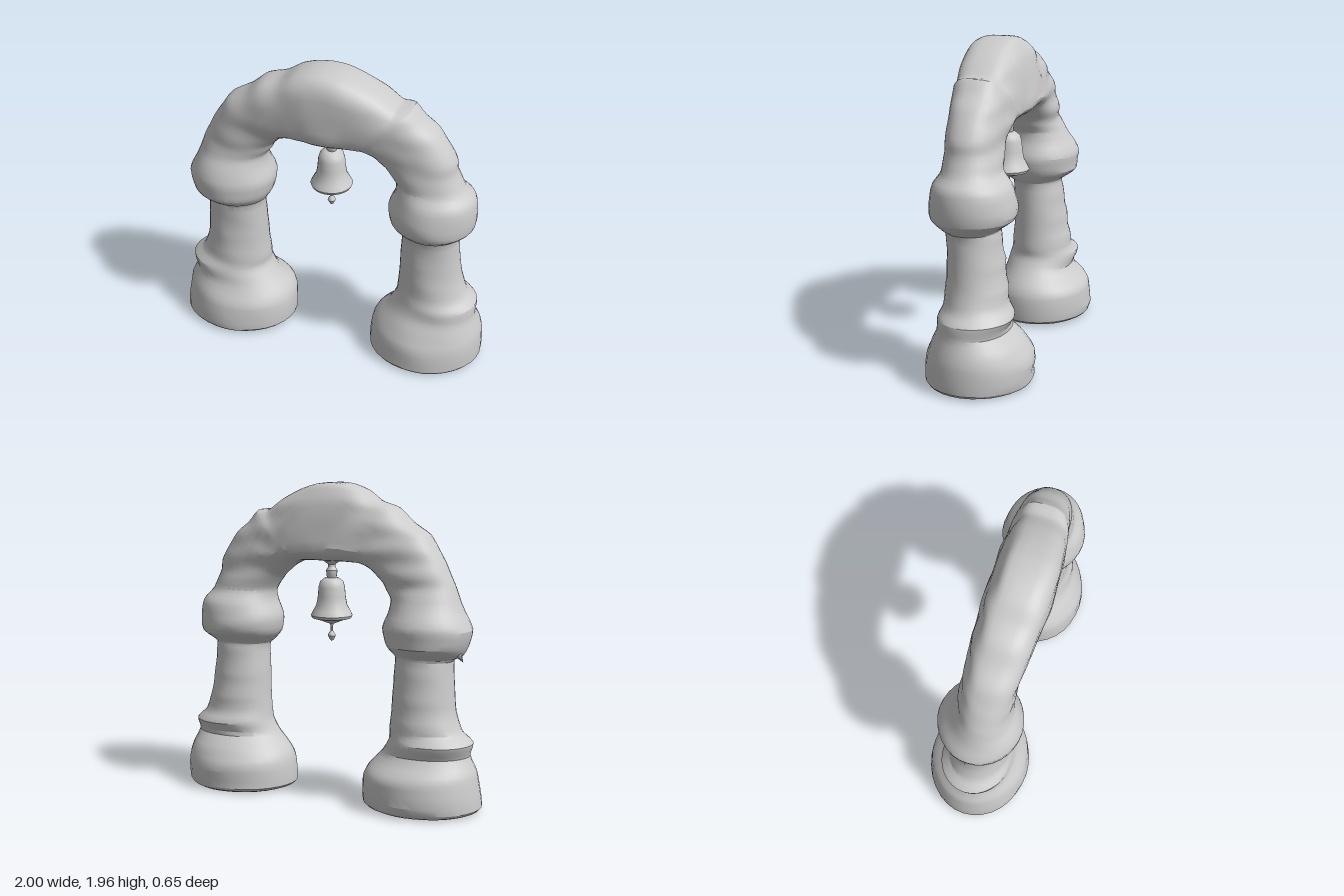
import * as THREE from 'three';
import { toCreasedNormals } from 'three/addons/utils/BufferGeometryUtils.js';

const material = new THREE.MeshStandardMaterial({ color: 0xcccccc, side: THREE.DoubleSide });

// Depth of a pillar at each height: [y, zFront, zBack]
const DEPTH = [
  [0, 0.28, -0.28], [0.03, 0.32, -0.32], [0.18, 0.31, -0.32], [0.25, 0.28, -0.28],
  [0.34, 0.235, -0.2], [0.42, 0.22, -0.22], [0.48, 0.2, -0.19], [0.6, 0.19, -0.17],
  [0.75, 0.185, -0.15], [0.91, 0.19, -0.13], [0.94, 0.22, -0.14], [1.0, 0.275, -0.215],
  [1.1, 0.285, -0.23], [1.2, 0.26, -0.19], [1.27, 0.22, -0.14],
];

// Width of each pillar at the same heights: [inner, outer] distance from the centre
const LEFT = [
  [0.34, 0.95], [0.28, 1.0], [0.29, 1.0], [0.32, 0.985], [0.4, 0.955], [0.44, 0.955],
  [0.45, 0.895], [0.46, 0.855], [0.465, 0.835], [0.475, 0.825], [0.45, 0.85], [0.4, 0.915],
  [0.385, 0.925], [0.425, 0.91], [0.425, 0.85],
];
const RIGHT = [
  [0.32, 0.95], [0.26, 1.0], [0.26, 0.98], [0.29, 0.965], [0.37, 0.92], [0.42, 0.945],
  [0.42, 0.875], [0.43, 0.83], [0.435, 0.815], [0.44, 0.805], [0.42, 0.855], [0.385, 0.89],
  [0.365, 0.915], [0.4, 0.865], [0.405, 0.835],
];

// Half arch rows: [xInner, yInner, xOuter, yOuter, zFront, zBack, squareness]
const ARCH_LEFT = [
  [0.38, 1.34, 0.8, 1.38, 0.21, -0.12, 0.1], [0.35, 1.375, 0.79, 1.45, 0.21, -0.12, 0.15],
  [0.32, 1.4, 0.74, 1.54, 0.21, -0.12, 0.3], [0.285, 1.43, 0.67, 1.635, 0.215, -0.125, 0.4],
  [0.25, 1.45, 0.59, 1.7, 0.225, -0.125, 0.5], [0.22, 1.463, 0.52, 1.775, 0.235, -0.13, 0.6],
  [0.19, 1.47, 0.44, 1.78, 0.245, -0.135, 0.7], [0.15, 1.473, 0.34, 1.85, 0.255, -0.14, 0.8],
  [0.1, 1.475, 0.22, 1.91, 0.262, -0.143, 0.9], [0.05, 1.475, 0.11, 1.945, 0.268, -0.145, 1],
];
const ARCH_RIGHT = [
  [0.37, 1.32, 0.8, 1.36, 0.21, -0.12, 0.1], [0.35, 1.36, 0.77, 1.42, 0.21, -0.12, 0.15],
  [0.32, 1.395, 0.73, 1.5, 0.21, -0.12, 0.3], [0.285, 1.43, 0.68, 1.575, 0.215, -0.125, 0.4],
  [0.25, 1.45, 0.62, 1.66, 0.225, -0.125, 0.5], [0.22, 1.463, 0.5, 1.73, 0.235, -0.13, 0.6],
  [0.19, 1.47, 0.4, 1.815, 0.245, -0.135, 0.7], [0.15, 1.473, 0.28, 1.85, 0.255, -0.14, 0.8],
  [0.1, 1.475, 0.18, 1.915, 0.262, -0.143, 0.9], [0.05, 1.475, 0.09, 1.945, 0.268, -0.145, 1],
];

const APEX = [0, 1.475, 0, 1.955, 0.27, -0.145, 1];

// One side from the ground to just before the apex
function sideRows(sign, widths, arch) {
  const pillar = widths.map(([inner, outer], i) => {
    const [y, front, back] = DEPTH[i];
    return [sign * inner, y, sign * outer, y, front, back, 0];
  });
  return [...pillar, ...arch.map((r) => [sign * r[0], r[1], sign * r[2], ...r.slice(3)])];
}

// Smooth in-between values along the rows
function refine(rows, steps) {
  const out = [];
  for (let i = 0; i < rows.length - 1; i++) {
    const p = rows[Math.max(i - 1, 0)], a = rows[i], b = rows[i + 1];
    const q = rows[Math.min(i + 2, rows.length - 1)];
    for (let s = 0; s < steps; s++) {
      const t = s / steps;
      out.push(a.map((v, k) => {
        const m0 = (b[k] - p[k]) * 0.35, m1 = (q[k] - v) * 0.35;
        const t2 = t * t, t3 = t2 * t;
        return (2 * t3 - 3 * t2 + 1) * v + (t3 - 2 * t2 + t) * m0
          + (3 * t2 - 2 * t3) * b[k] + (t3 - t2) * m1;
      }));
    }
  }
  out.push(rows[rows.length - 1]);
  return out;
}

// Loft of rounded cross-sections, squarer and thinner at the back near the apex
function loftStone(rows, sides) {
  const pos = [], index = [];
  const power = (v, e) => Math.sign(v) * Math.abs(v) ** e;
  rows.forEach(([xi, yi, xo, yo, front, back, square]) => {
    const mid = (front + back) / 2, half = (front - back) / 2;
    const e = 1 - 0.5 * square;
    for (let j = 0; j < sides; j++) {
      const a = (j / sides) * Math.PI * 2;
      const u = power(Math.cos(a), e), w = power(Math.sin(a), e);
      const x = (xi + xo) / 2 + (xo - xi) / 2 * u;
      const y = (yi + yo) / 2 + (yo - yi) / 2 * u;
      let depth = half * w;
      if (w < 0) depth *= 1 - 0.4 * square * Math.max(0, (u + 0.6) / 1.6);
      // Worn strata: shallow horizontal ridges, strongest on the back
      const wear = Math.sin(y * 42 + x * 3) * (w < 0 ? 0.006 : 0.002)
        + Math.sin(x * 19 + y * 13) * 0.002;
      pos.push(x, y, mid + depth + wear * w);
    }
  });
  const last = rows.length - 1;
  for (let i = 0; i < last; i++) {
    for (let j = 0; j < sides; j++) {
      const k = (j + 1) % sides;
      const a = i * sides + j, b = i * sides + k, c = a + sides, d = b + sides;
      index.push(a, b, c, b, d, c);
    }
  }
  // Flat undersides
  [0, last].forEach((row) => {
    const [xi, y, xo, , front, back] = rows[row];
    const centre = pos.length / 3;
    pos.push((xi + xo) / 2, y, (front + back) / 2);
    for (let j = 0; j < sides; j++) {
      const a = row * sides + j, b = row * sides + (j + 1) % sides;
      index.push(centre, ...(row === 0 ? [b, a] : [a, b]));
    }
  });
  const g = new THREE.BufferGeometry();
  g.setAttribute('position', new THREE.Float32BufferAttribute(pos, 3));
  g.setIndex(index);
  return toCreasedNormals(g, 0.45);
}

function lathe(name, points, segments) {
  const g = new THREE.LatheGeometry(points.map(([r, y]) => new THREE.Vector2(r, y)), segments);
  const mesh = new THREE.Mesh(toCreasedNormals(g, 0.7), material);
  mesh.name = name;
  return mesh;
}

export function createModel() {
  const model = new THREE.Group();
  model.name = 'stoneArchWithBell';

  // Both pillars and the arch as one continuous stone
  const rows = [
    ...sideRows(-1, RIGHT, ARCH_RIGHT), APEX, ...sideRows(1, LEFT, ARCH_LEFT).reverse(),
  ];
  const arch = new THREE.Mesh(loftStone(refine(rows, 3), 32), material);
  arch.name = 'stoneArch';
  model.add(arch);

  // Small chip sticking out under the right capital
  const chip = new THREE.Mesh(new THREE.ConeGeometry(0.04, 0.1, 6), material);
  chip.name = 'stoneChip';
  chip.position.set(-0.855, 0.955, 0);
  chip.rotation.z = 2.5;
  model.add(chip);

  // Hanging bell, profiles listed bottom to top
  const bell = new THREE.Group();
  bell.name = 'bell';
  bell.position.set(0.01, 0, 0.03);
  bell.add(
    lathe('bellMount', [
      [0.018, 1.35], [0.03, 1.37], [0.036, 1.415], [0.022, 1.435], [0.022, 1.45], [0.055, 1.475], [0.06, 1.49],
    ], 12),
    lathe('bellBody', [
      [0, 1.075], [0.025, 1.085], [0.075, 1.105], [0.122, 1.118], [0.13, 1.135], [0.115, 1.165],
      [0.096, 1.2], [0.087, 1.25], [0.082, 1.31], [0.072, 1.345], [0.045, 1.367], [0, 1.372],
    ], 24),
    lathe('bellClapper', [
      [0, 0.97], [0.012, 0.98], [0.025, 1.005], [0.02, 1.02], [0.008, 1.035], [0.007, 1.06], [0.012, 1.085],
    ], 10),
  );
  model.add(bell);
  return model;
}
